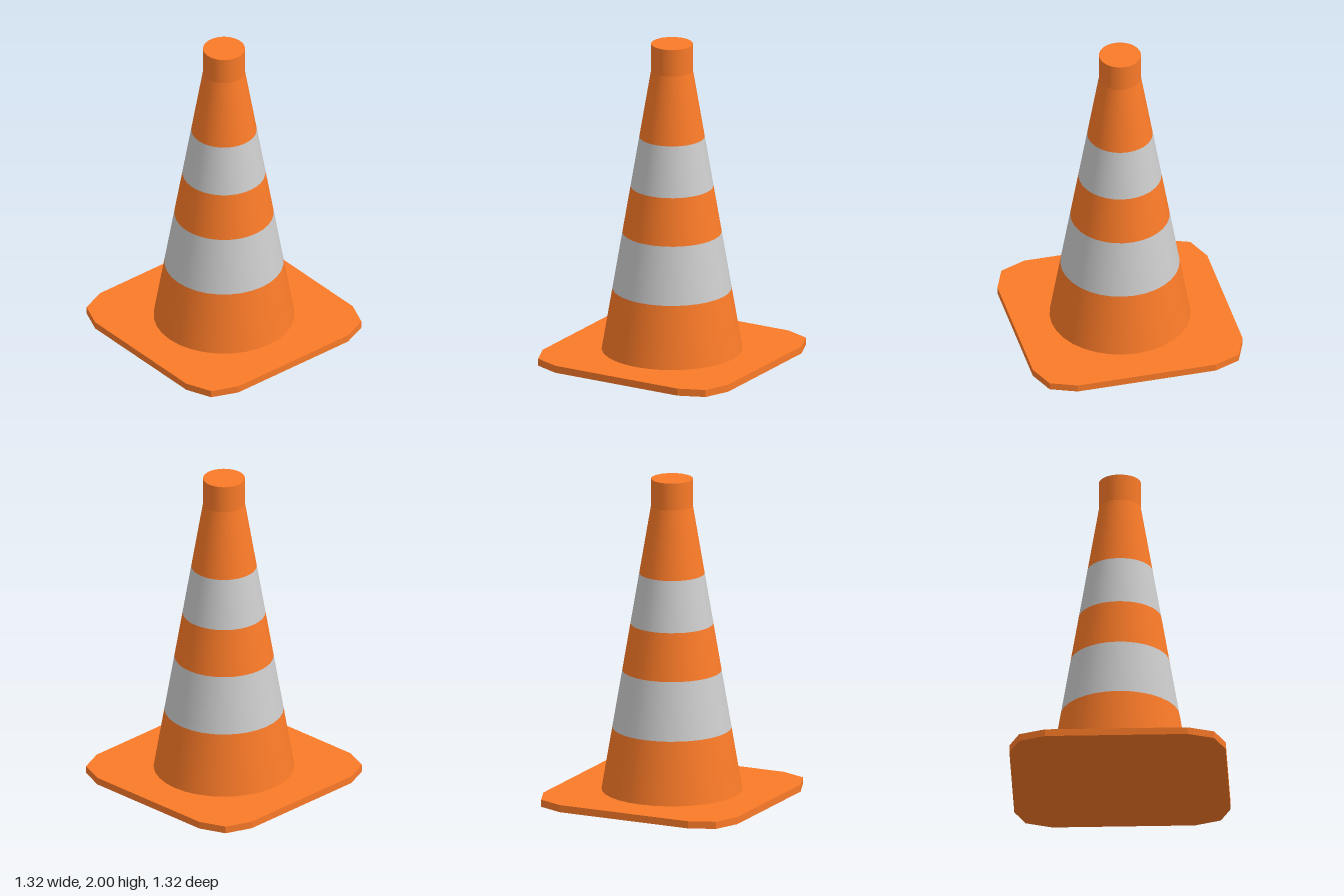
import * as THREE from 'three';

const SIDES = 32;
const BASE_H = 0.045, NECK_Y = 1.83, TOP_Y = 2;
const FOOT_R = 0.43, NECK_R = 0.128;

const orange = new THREE.MeshStandardMaterial({ color: 0xfa7a28 });
const grey = new THREE.MeshStandardMaterial({ color: 0xcccccc });

// Radius of the tapered body at a given height
const radiusAt = (y) => THREE.MathUtils.mapLinear(y, BASE_H, NECK_Y, FOOT_R, NECK_R);

// Upright round section between two heights
function section(name, y0, y1, r0, r1, material, open) {
  const geometry = new THREE.CylinderGeometry(r1, r0, y1 - y0, SIDES, 1, open);
  const mesh = new THREE.Mesh(geometry, material);
  mesh.name = name;
  mesh.position.y = (y0 + y1) / 2;
  return mesh;
}

// Square plate with each corner cut by two facets
function createBase() {
  const corner = [[0.66, 0.435], [0.595, 0.595], [0.435, 0.66]];
  const points = [];
  for (let i = 0; i < 4; i++) {
    for (const [x, y] of corner) {
      points.push(new THREE.Vector2(x, y).rotateAround(new THREE.Vector2(), i * Math.PI / 2));
    }
  }
  const geometry = new THREE.ExtrudeGeometry(new THREE.Shape(points), { depth: BASE_H, bevelEnabled: false });
  geometry.rotateX(-Math.PI / 2);
  const mesh = new THREE.Mesh(geometry, orange);
  mesh.name = 'basePlate';
  return mesh;
}

export function createModel() {
  const group = new THREE.Group();
  group.name = 'trafficCone';
  group.add(createBase());

  // Tapered body in alternating orange and reflective bands
  const body = new THREE.Group();
  body.name = 'coneBody';
  const heights = [BASE_H, 0.435, 0.795, 1.09, 1.405, NECK_Y];
  const names = ['lowerBody', 'lowerReflectiveBand', 'middleBody', 'upperReflectiveBand', 'upperBody'];
  names.forEach((name, i) => {
    const y0 = heights[i], y1 = heights[i + 1];
    body.add(section(name, y0, y1, radiusAt(y0), radiusAt(y1), i % 2 ? grey : orange, true));
  });
  group.add(body);

  // Straight neck with a closed top
  group.add(section('neck', NECK_Y, TOP_Y, NECK_R, NECK_R, orange, false));
  return group;
}
